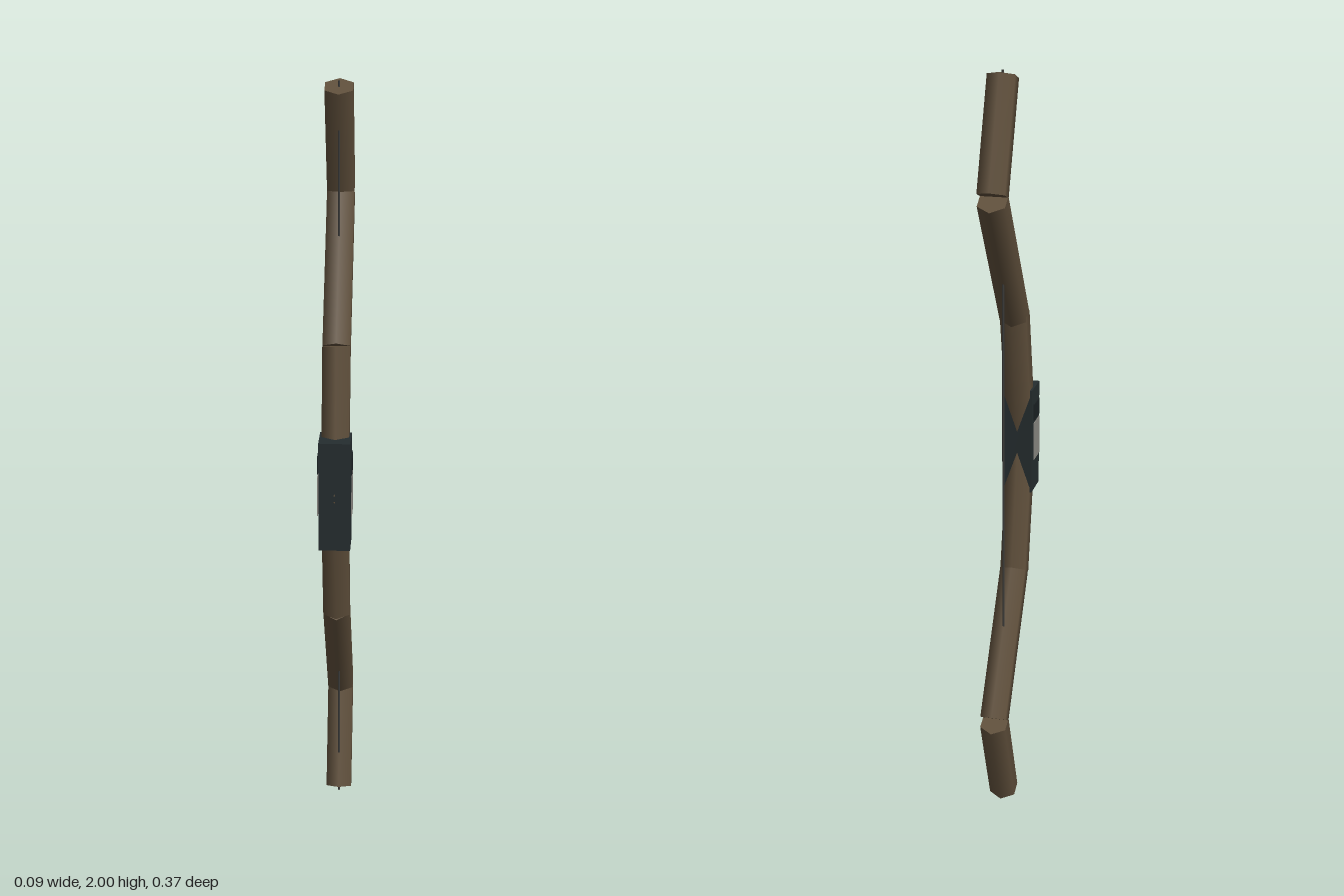
import * as THREE from 'three';

const MID = 1.002; // height of the mirror plane between the two limbs

export function createModel() {
  const group = new THREE.Group();
  const material = (color) => new THREE.MeshStandardMaterial({ color });
  const wood = material(0x5f4f3b);
  const dark = material(0x252d2f);
  const darker = material(0x1b2123);
  const pale = material(0x8c8a84);
  const cord = material(0x3c3c3a);

  const add = (name, geometry, mat, x, y, z) => {
    const mesh = new THREE.Mesh(geometry, mat);
    mesh.name = name;
    mesh.position.set(x, y, z);
    group.add(mesh);
    return mesh;
  };

  // Six-sided rod between two points of the side plane, each given as [z, y]
  const rod = (name, [z0, y0], [z1, y1]) => {
    const length = Math.hypot(z1 - z0, y1 - y0);
    const geometry = new THREE.CylinderGeometry(0.04, 0.04, length, 6);
    const mesh = add(name, geometry, wood, 0, (y0 + y1) / 2, (z0 + z1) / 2);
    mesh.rotation.x = Math.atan2(z1 - z0, y1 - y0);
  };

  // Limb segments from the grip to the tip: start and end as [z, height above middle]
  const segments = [
    ['innerLimb', [0.147, 0], [0.071, 0.367]],
    ['middleLimb', [0.069, 0.361], [-0.147, 0.705]],
    ['limbTip', [-0.147, 0.718], [-0.047, 0.984]],
  ];
  for (const [label, side] of [['upper', 1], ['lower', -1]]) {
    for (const [name, a, b] of segments) {
      rod(`${label} ${name}`, [a[0], MID + side * a[1]], [b[0], MID + side * b[1]]);
    }
  }

  // Grip block with two thin plates on each side
  add('grip', new THREE.BoxGeometry(0.08, 0.29, 0.085), dark, 0, 1.005, 0.1425);
  for (const side of [-1, 1]) {
    add('sidePlate', new THREE.BoxGeometry(0.002, 0.105, 0.06), pale, side * 0.043, 1.003, 0.143);
    add('upperSidePlate', new THREE.BoxGeometry(0.002, 0.045, 0.06), darker, side * 0.043, 1.085, 0.143);
  }

  // String from tip to tip
  add('string', new THREE.CylinderGeometry(0.003, 0.003, 2, 6), cord, 0, 1, -0.047);

  return group;
}
